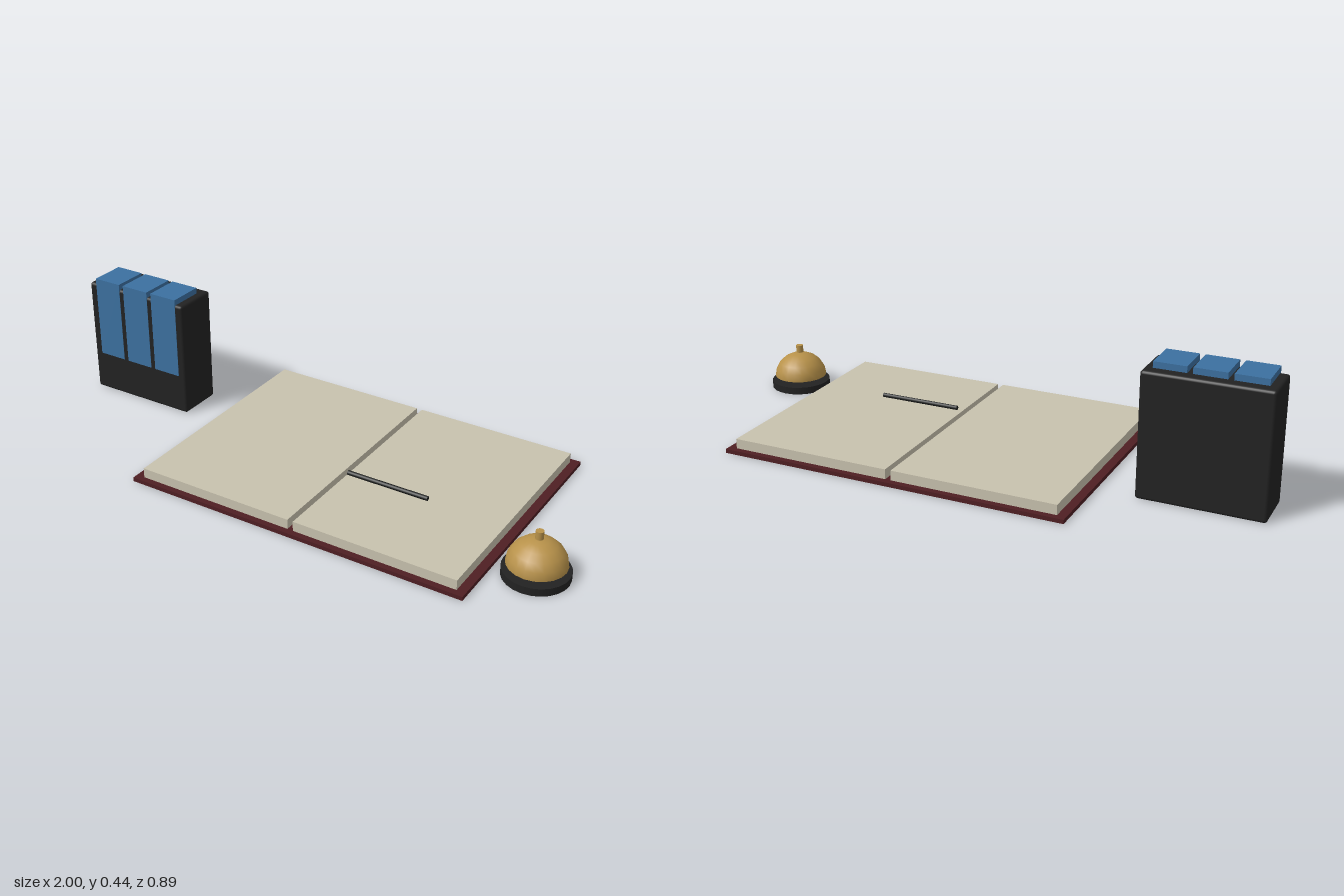
import * as THREE from 'three';
import { RoundedBoxGeometry } from 'three/addons/geometries/RoundedBoxGeometry.js';

function mat(name, color) {
  const m = new THREE.MeshStandardMaterial({ color });
  m.name = name;
  return m;
}

export function createModel() {
  const black = mat('black', 0x222222);
  const blue = mat('blue', 0x3c70a0);
  const maroon = mat('maroon', 0x4f1f23);
  const paper = mat('paper', 0xc8c2ae);
  const brass = mat('brass', 0xb8924a);
  brass.side = THREE.DoubleSide;
  const ink = mat('ink', 0x191b1a);

  const model = new THREE.Group();
  model.name = 'receptionDeskSet';

  function add(parent, name, geometry, material, x, y, z) {
    const mesh = new THREE.Mesh(geometry, material);
    mesh.name = name;
    mesh.position.set(x, y, z);
    parent.add(mesh);
    return mesh;
  }
  function group(name) {
    const g = new THREE.Group();
    g.name = name;
    model.add(g);
    return g;
  }

  // Upright holder with three blue cards flush with its front
  const holder = group('cardHolder');
  add(holder, 'holderBody', new RoundedBoxGeometry(0.415, 0.422, 0.167, 2, 0.01), black, -0.7925, 0.211, -0.1035);
  for (let i = 0; i < 3; i++) {
    add(holder, 'card' + (i + 1), new THREE.BoxGeometry(0.107, 0.298, 0.128), blue,
      -0.916 + i * 0.125, 0.294, -0.083);
  }

  // Open ledger: cover and two page blocks
  const ledger = group('ledger');
  add(ledger, 'cover', new THREE.BoxGeometry(1.22, 0.014, 0.886), maroon, 0.155, 0.007, 0);
  for (const side of [-1, 1]) {
    add(ledger, side < 0 ? 'rightPages' : 'leftPages', new THREE.BoxGeometry(0.57, 0.034, 0.844), paper,
      0.155 + side * 0.295, 0.031, 0);
  }

  // Pen above the pages
  const pen = add(model, 'pen', new THREE.CylinderGeometry(0.008, 0.008, 0.295, 8), ink, 0.3225, 0.065, 0.106);
  pen.rotation.z = Math.PI / 2;

  // Desk bell
  const bell = group('deskBell');
  bell.position.set(0.893, 0, 0.212);
  add(bell, 'bellBase', new THREE.CylinderGeometry(0.107, 0.107, 0.026, 24), black, 0, 0.013, 0);
  const dome = add(bell, 'bellDome',
    new THREE.SphereGeometry(0.095, 20, 5, 0, Math.PI * 2, 0, Math.PI / 2), brass, 0, 0.043, 0);
  dome.scale.y = 0.9;
  add(bell, 'bellButton', new THREE.CylinderGeometry(0.013, 0.013, 0.027, 12), brass, 0, 0.145, 0);

  return model;
}
